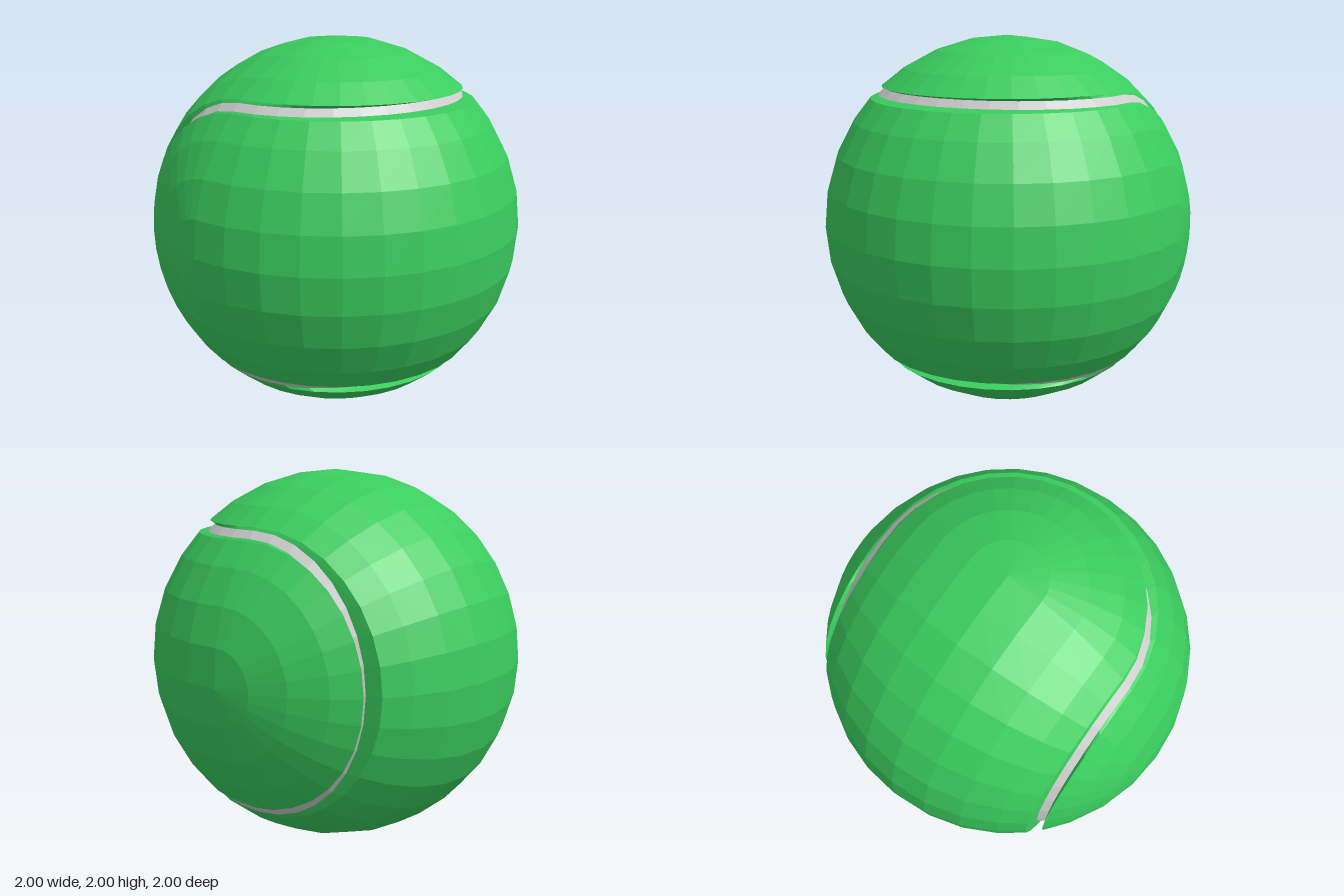
import * as THREE from 'three';

const N = 16;                               // segments per side of the seam loop
const rad = THREE.MathUtils.degToRad;

// Point on the unit sphere: the loop at angle a (degrees) around the half-equator on +x.
// Its four sides are the upper line, back half circle, lower line and front half circle.
function loopPoint(a, i) {
  const side = Math.floor(i / N) % 4;
  const u = ((i % N) / N) * Math.PI;
  const s = Math.sin(rad(a)), c = Math.cos(rad(a));
  if (side === 0) return new THREE.Vector3(c * Math.sin(u), s, c * Math.cos(u));
  if (side === 1) return new THREE.Vector3(-s * Math.sin(u), s * Math.cos(u), -c);
  if (side === 2) return new THREE.Vector3(c * Math.sin(u), -s, -c * Math.cos(u));
  return new THREE.Vector3(-s * Math.sin(u), -s * Math.cos(u), c);
}

const surfaceRow = (a) => Array.from({ length: 4 * N }, (_, i) => loopPoint(a, i));

// Groove rows are pushed in along x, so the groove is deepest at its bends
const grooveRow = (a) => surfaceRow(a).map((p) => p.multiply(new THREE.Vector3(0.9, 0.997, 0.997)));

// Skin closed rows together, leaving out collapsed triangles
function skin(rows) {
  const pos = [];
  const tri = (a, b, c) => {
    const area = b.clone().sub(a).cross(c.clone().sub(a)).length();
    if (area > 1e-7) for (const p of [a, b, c]) pos.push(p.x, p.y, p.z);
  };
  for (let r = 0; r < rows.length - 1; r++) {
    for (let i = 0; i < 4 * N; i++) {
      const j = (i + 1) % (4 * N);
      tri(rows[r][i], rows[r][j], rows[r + 1][j]);
      tri(rows[r][i], rows[r + 1][j], rows[r + 1][i]);
    }
  }
  const geo = new THREE.BufferGeometry();
  geo.setAttribute('position', new THREE.Float32BufferAttribute(pos, 3));
  geo.computeVertexNormals();
  return geo;
}

export function createModel() {
  const model = new THREE.Group();
  model.name = 'tennisBall';
  const felt = new THREE.MeshStandardMaterial({ color: 0x3acc5e, flatShading: true });
  const rubber = new THREE.MeshStandardMaterial({ color: 0xcccccc, flatShading: true });

  // Two identical felt panels, each with a groove wall, interlocking like a real cover
  const panelGeo = skin([...[0, 11.25, 22.5, 33.75, 42.5].map(surfaceRow), grooveRow(43.5)]);
  const leftPanel = new THREE.Mesh(panelGeo, felt);
  leftPanel.name = 'leftFeltPanel';
  const rightPanel = new THREE.Mesh(panelGeo, felt);
  rightPanel.name = 'rightFeltPanel';
  rightPanel.quaternion.setFromAxisAngle(new THREE.Vector3(0, 1, 1).normalize(), Math.PI);

  // Seam strip on the floor of the groove
  const seam = new THREE.Mesh(skin([grooveRow(43.5), grooveRow(46.5)]), rubber);
  seam.name = 'seam';

  model.add(leftPanel, rightPanel, seam);
  for (const part of model.children) part.position.y = 1;
  return model;
}
